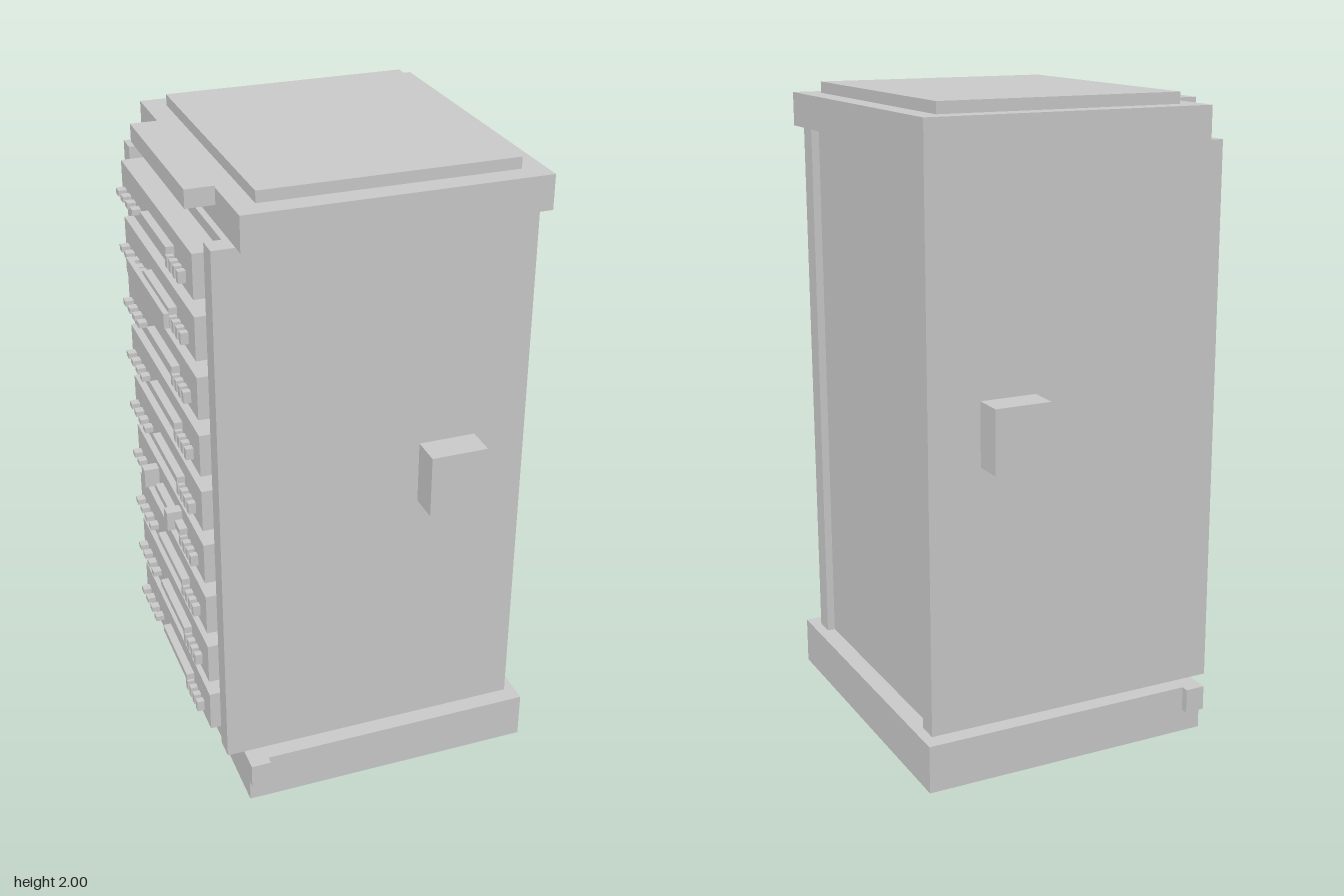
import * as THREE from 'three';

const grey = new THREE.MeshStandardMaterial({ color: 0xcccccc, flatShading: true });

// Box given by its lower and upper limits on each axis
function block(parent, name, [x0, x1], [y0, y1], [z0, z1]) {
  const mesh = new THREE.Mesh(new THREE.BoxGeometry(x1 - x0, y1 - y0, z1 - z0), grey);
  mesh.position.set((x0 + x1) / 2, (y0 + y1) / 2, (z0 + z1) / 2);
  mesh.name = name;
  parent.add(mesh);
  return mesh;
}

// Range on the +z or -z side
const side = (s, a, b) => (s > 0 ? [a, b] : [-b, -a]);

// One rack unit, centred on its own y = 0, with its face towards -x
function makeRackUnit() {
  const unit = new THREE.Group();
  const face = -0.488;
  block(unit, 'unitCase', [face, -0.40], [-0.067, 0.067], [-0.392, 0.392]);
  block(unit, 'driveSlot', [-0.513, face], [-0.003, 0.019], [-0.074, 0.211]);
  for (let i = 0; i < 4; i++) {
    const zl = -0.365 + i * 0.057;
    block(unit, 'indicator', [-0.515, face], [-0.028, -0.01], [zl, zl + 0.03]);
    const zr = 0.191 + i * 0.0375;
    block(unit, 'port', [-0.511, face], [-0.045, -0.009], [zr, zr + 0.021]);
  }
  return unit;
}

export function createModel() {
  const model = new THREE.Group();
  model.name = 'serverCabinet';

  // Plinth, lid and raised top plate
  block(model, 'plinth', [-0.404, 0.536], [0, 0.15], [-0.524, 0.524]);
  block(model, 'lid', [-0.389, 0.521], [1.86, 1.965], [-0.512, 0.512]);
  block(model, 'topPlate', [-0.323, 0.452], [1.965, 2], [-0.442, 0.442]);
  block(model, 'cableTray', [-0.476, -0.389], [1.915, 1.97], [-0.293, 0.293]);

  // Core, set back behind the panel edges on +x
  block(model, 'core', [-0.408, 0.478], [0.15, 1.86], [-0.407, 0.407]);

  // Side panels, front posts, side boxes and plinth tabs, mirrored in z
  for (const s of [1, -1]) {
    block(model, 'sidePanel', [-0.389, 0.503], [0.15, 1.86], side(s, 0.404, 0.47));
    block(model, 'post', [-0.458, -0.389], [0.15, 1.86], side(s, 0.404, 0.47));
    block(model, 'sideBox', [0.161, 0.338], [0.963, 1.16], side(s, 0.47, 0.566));
    block(model, 'plinthTab', [-0.404, -0.341], [0.072, 0.15], side(s, 0.524, 0.548));
  }

  // Stack of nine rack units
  const units = [];
  for (let i = 0; i < 9; i++) {
    const unit = makeRackUnit();
    unit.name = 'rackUnit' + (i + 1);
    unit.position.y = 0.273 + i * 0.1857;
    model.add(unit);
    units.push(unit);
  }

  // Long rail on the second unit from the top
  block(units[7], 'rail', [-0.53, -0.514], [-0.04, 0.006], [-0.217, 0.217]);
  for (const s of [1, -1]) {
    block(units[7], 'railBracket', [-0.516, -0.488], [-0.03, -0.005], side(s, 0.125, 0.145));
    // Upright grips on the sixth unit from the top
    block(units[3], 'grip', [-0.536, -0.488], [-0.015, 0.048], side(s, 0.118, 0.155));
  }
  return model;
}
